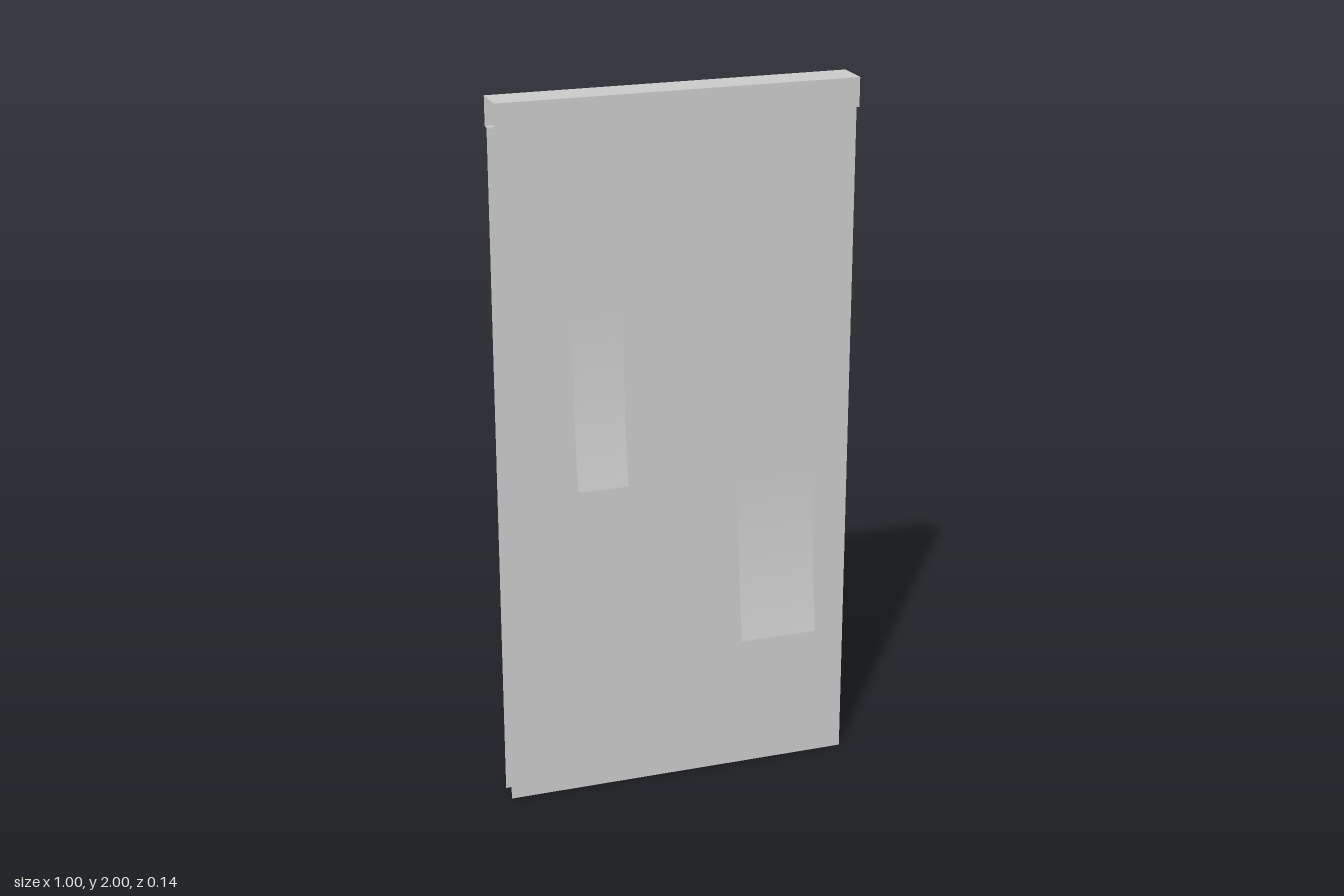
import * as THREE from 'three';

const material = new THREE.MeshStandardMaterial({ color: 0xcccccc, side: THREE.DoubleSide });

// Zero-thickness strip: sweeps a [z, y] profile along x from x0 to x1
function ribbon(name, x0, x1, profile, smooth = false) {
  let geo = new THREE.PlaneGeometry(x1 - x0, 1, 1, profile.length - 1);
  const pos = geo.attributes.position;
  for (let i = 0; i < pos.count; i++) {
    const [z, y] = profile[Math.floor(i / 2)];
    pos.setXYZ(i, i % 2 ? x1 : x0, y, z);
  }
  if (!smooth) geo = geo.toNonIndexed();
  geo.computeVertexNormals();
  const mesh = new THREE.Mesh(geo, material);
  mesh.name = name;
  return mesh;
}

// Paper-like flap, flat at the top and curling forward toward the bottom
function flap(name, x0, x1, top, bottom, zTop, zBottom) {
  const steps = 12;
  const profile = [];
  for (let i = 0; i <= steps; i++) {
    const t = i / steps;
    profile.push([zTop + (zBottom - zTop) * t * t, top + (bottom - top) * t]);
  }
  return ribbon(name, x0, x1, profile, true);
}

export function createModel() {
  const model = new THREE.Group();
  model.name = 'hangingPanel';

  const half = 0.5, top = 2, capBottom = 1.92;
  const capBack = -0.07, capFront = 0.032;
  const sheetBack = -0.051, sheetFront = 0.013;

  // Open-ended top channel with lips turned in to the sheets
  model.add(ribbon('topChannel', -half, half, [
    [sheetBack, capBottom], [capBack, capBottom], [capBack, top],
    [capFront, top], [capFront, capBottom], [sheetFront, capBottom],
  ]));

  // Two hanging sheets
  model.add(ribbon('frontSheet', -half, half, [[sheetFront, capBottom], [sheetFront, 0]]));
  model.add(ribbon('backSheet', -half, half, [[sheetBack, 0], [sheetBack, capBottom]]));

  // Curled flaps on the front
  model.add(flap('upperFlap', -0.305, -0.163, 1.42, 0.93, 0.027, 0.067));
  model.add(flap('lowerFlap', 0.172, 0.395, 0.9, 0.41, 0.021, 0.061));

  return model;
}
